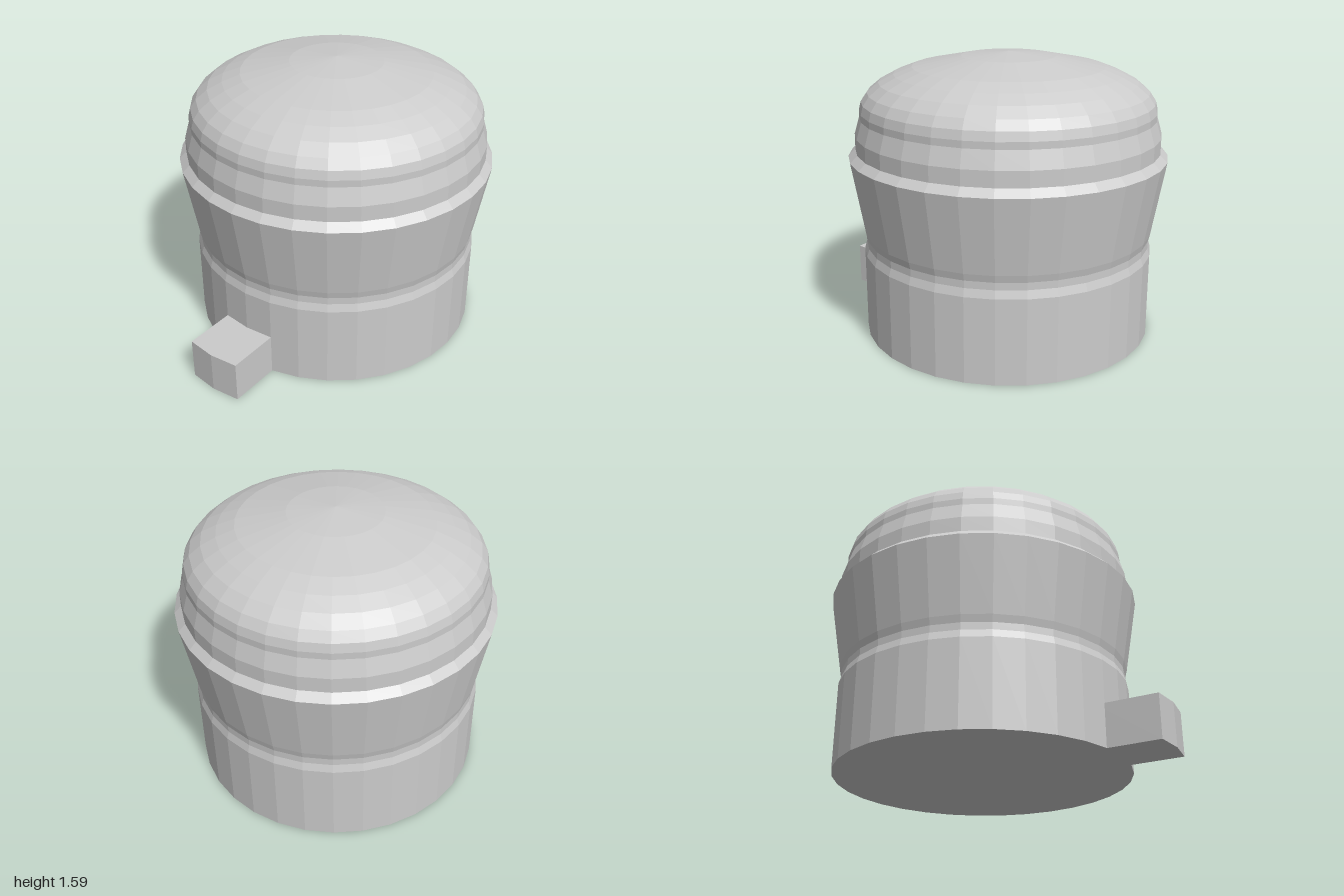
import * as THREE from 'three';

const CENTRE_Z = -0.11;

export function createModel() {
  const model = new THREE.Group();
  const material = new THREE.MeshStandardMaterial({ color: 0xcccccc, flatShading: true });

  const add = (name, geometry, z = 0) => {
    const mesh = new THREE.Mesh(geometry, material);
    mesh.name = name;
    mesh.position.z = z;
    model.add(mesh);
    return mesh;
  };
  const turned = (profile) =>
    new THREE.LatheGeometry(profile.map(([r, y]) => new THREE.Vector2(r, y)), 32);

  // Round body: straight base, narrow waist, flared wall and bevelled rim
  add('body', turned([
    [0, 0], [0.82, 0], [0.82, 0.476], [0.807, 0.52], [0.807, 0.56],
    [0.817, 0.6], [0.89, 1.02], [0.85, 1.06],
  ]), CENTRE_Z);

  // Domed roof above the rim
  add('dome', turned([
    [0.85, 1.06], [0.85, 1.145], [0.822, 1.24], [0.822, 1.277], [0.81, 1.325],
    [0.776, 1.375], [0.713, 1.427], [0.63, 1.47], [0.53, 1.508], [0.26, 1.563], [0, 1.587],
  ]), CENTRE_Z);

  // Entrance step: block with a slightly pointed front, set into the wall
  const plan = new THREE.Shape([
    [-0.16, -0.65], [-0.16, -0.982], [0, -1], [0.16, -0.982], [0.16, -0.65],
  ].map(([x, y]) => new THREE.Vector2(x, y)));
  const step = new THREE.ExtrudeGeometry(plan, { depth: 0.238, bevelEnabled: false });
  step.rotateX(-Math.PI / 2);
  add('entranceStep', step);

  return model;
}
